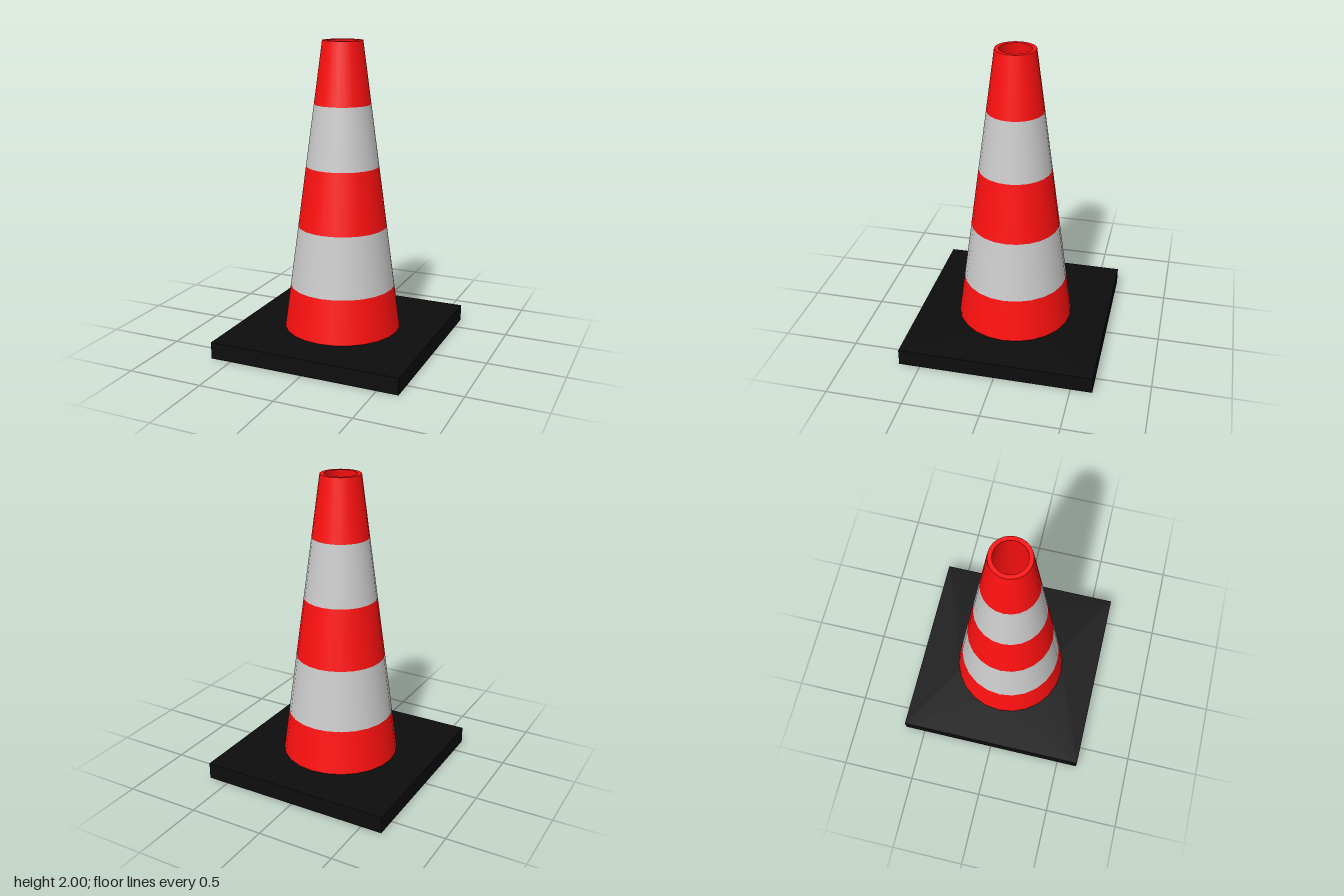
import * as THREE from 'three';

const SIDES = 24;
const BASE = { half: 0.64, height: 0.11 };
const WALL = 0.027;
const red = new THREE.MeshStandardMaterial({ color: 0xff1010 });
const black = new THREE.MeshStandardMaterial({ color: 0x0d0d0d });
const grey = new THREE.MeshStandardMaterial({ color: 0xcccccc });

// Outer radius of the cone at a given height
const radiusAt = (y) => 0.4 - 0.135 * y;

export function createModel() {
  const model = new THREE.Group();
  model.name = 'trafficCone';

  const add = (name, geometry, material) => {
    const mesh = new THREE.Mesh(geometry, material);
    mesh.name = name;
    model.add(mesh);
    return mesh;
  };
  const lathe = (...points) =>
    new THREE.LatheGeometry(points.map(([r, y]) => new THREE.Vector2(r, y)), SIDES);

  // Square base plate with a round opening underneath the cone
  const h = BASE.half;
  const plate = new THREE.Shape([
    new THREE.Vector2(-h, -h), new THREE.Vector2(h, -h),
    new THREE.Vector2(h, h), new THREE.Vector2(-h, h),
  ]);
  plate.holes.push(new THREE.Path().absarc(0, 0, radiusAt(0) - WALL, 0, Math.PI * 2, true));
  const plateGeometry = new THREE.ExtrudeGeometry(plate, {
    depth: BASE.height, bevelEnabled: false, curveSegments: SIDES,
  });
  plateGeometry.rotateX(-Math.PI / 2);
  add('basePlate', plateGeometry, black);

  // Alternating red and reflective bands up the outside
  const levels = [BASE.height, 0.4, 0.8, 1.2, 1.6, 2];
  for (let i = 0; i < levels.length - 1; i++) {
    const [low, high] = [levels[i], levels[i + 1]];
    const isRed = i % 2 === 0;
    add(`${isRed ? 'red' : 'reflective'}Band${i + 1}`,
      lathe([radiusAt(low), low], [radiusAt(high), high]), isRed ? red : grey);
  }

  // Flat rim around the open top
  add('topRim', lathe([radiusAt(2), 2], [radiusAt(2) - WALL, 2]), red);

  // Hollow inside, running down through the base
  add('innerWall', lathe([radiusAt(2) - WALL, 2], [radiusAt(0) - WALL, 0]), red);

  return model;
}
